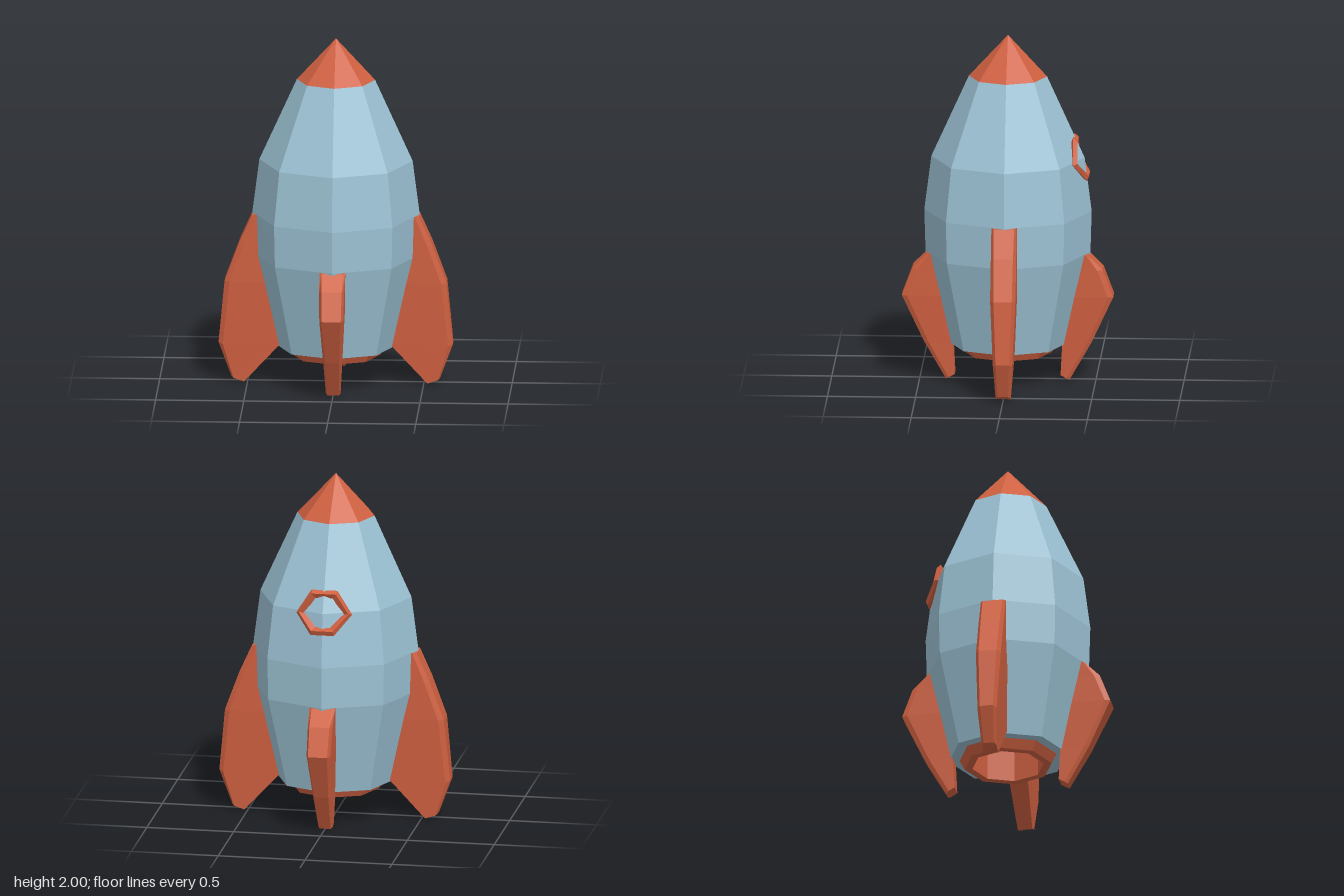
import * as THREE from 'three';

const hull = new THREE.MeshStandardMaterial({ name: 'hullBlue', color: 0x9cc2d4, flatShading: true });
const trim = new THREE.MeshStandardMaterial({ name: 'trimOrange', color: 0xcf6040, flatShading: true });

function mesh(name, geometry, material) {
  const m = new THREE.Mesh(geometry, material);
  m.name = name;
  return m;
}

// Eight-sided turned part from [radius, y] pairs, with corners on the axes
function turned(name, profile, material) {
  const points = profile.map(([r, y]) => new THREE.Vector2(r, y));
  return mesh(name, new THREE.LatheGeometry(points, 8), material);
}

// Skin a row of equal cross-sections, either capped at the ends or joined in a ring
function loft(sections, ring) {
  const n = sections[0].length;
  const count = sections.length;
  const index = [];
  for (let i = 0; i < (ring ? count : count - 1); i++) {
    const a = i * n;
    const b = ((i + 1) % count) * n;
    for (let j = 0; j < n; j++) {
      const k = (j + 1) % n;
      index.push(b + j, b + k, a + k, b + j, a + k, a + j);
    }
  }
  if (!ring) {
    const e = (count - 1) * n;
    for (let j = 1; j < n - 1; j++) {
      index.push(0, j, j + 1, e, e + j + 1, e + j);
    }
  }
  const g = new THREE.BufferGeometry();
  g.setAttribute('position', new THREE.Float32BufferAttribute(sections.flat(2), 3));
  g.setIndex(index);
  const flat = g.toNonIndexed();
  flat.computeVertexNormals();
  return flat;
}

// Fin along +x: each row gives root, bevel and edge as (radius, y), then two half widths
function finGeometry(rows) {
  return loft(rows.map(([ri, yi, rb, yb, ro, yo, w, e]) => [
    [ri, yi, w], [rb, yb, w], [ro, yo, e],
    [ro, yo, -e], [rb, yb, -w], [ri, yi, -w],
  ]), false);
}

export function createModel() {
  const rocket = new THREE.Group();
  rocket.name = 'rocket';

  // Hull, nose and hollow nozzle
  rocket.add(turned('hull', [
    [0.27, 0.21], [0.34, 0.21], [0.468, 0.74], [0.475, 0.98], [0.435, 1.29], [0.222, 1.76],
  ], hull));
  rocket.add(turned('noseCone', [[0.222, 1.76], [0, 2]], trim));
  rocket.add(turned('nozzle', [
    [0, 0.35], [0.205, 0.35], [0.205, 0.155], [0.25, 0.155], [0.28, 0.212],
  ], trim));

  // Large side fins
  const sideFin = finGeometry([
    [0.35, 0.98, 0.45, 0.98, 0.475, 0.975, 0.072, 0.058],
    [0.35, 0.74, 0.52, 0.81, 0.545, 0.82, 0.072, 0.055],
    [0.35, 0.59, 0.60, 0.59, 0.63, 0.59, 0.072, 0.052],
    [0.30, 0.24, 0.64, 0.22, 0.665, 0.23, 0.055, 0.038],
    [0.52, 0.00, 0.58, 0.02, 0.592, 0.03, 0.042, 0.03],
  ]);
  // Smaller front and back fins
  const smallFin = finGeometry([
    [0.35, 0.74, 0.44, 0.74, 0.455, 0.735, 0.074, 0.06],
    [0.35, 0.65, 0.51, 0.645, 0.54, 0.65, 0.071, 0.058],
    [0.33, 0.49, 0.57, 0.49, 0.60, 0.49, 0.068, 0.055],
    [0.31, 0.21, 0.45, 0.22, 0.475, 0.22, 0.052, 0.04],
    [0.30, 0.03, 0.335, 0.01, 0.35, 0.00, 0.042, 0.032],
  ]);
  [['leftFin', sideFin], ['backFin', smallFin], ['rightFin', sideFin], ['frontFin', smallFin]]
    .forEach(([name, geometry], i) => {
      const fin = mesh(name, geometry, trim);
      fin.rotation.y = i * Math.PI / 2;
      rocket.add(fin);
    });

  // Six-sided window frame, folded over the back ridge of the hull
  const centre = new THREE.Vector3(0, 1.285, -0.405);
  const corners = [
    [-0.135, 1.28, -0.382], [-0.062, 1.392, -0.378], [0.062, 1.392, -0.378],
    [0.135, 1.28, -0.382], [0.055, 1.19, -0.443], [-0.055, 1.19, -0.443],
  ];
  const frame = loft(corners.map((c) => {
    const p = new THREE.Vector3(...c);
    const radial = p.clone().sub(centre).setLength(0.026);
    const out = new THREE.Vector3(Math.sign(p.x) * 0.35, 0.25, -0.9).setLength(0.022);
    return [[radial, 1], [out, 1], [radial, -1], [out, -1]]
      .map(([v, s]) => p.clone().addScaledVector(v, s).toArray());
  }), true);
  rocket.add(mesh('windowFrame', frame, trim));

  return rocket;
}
